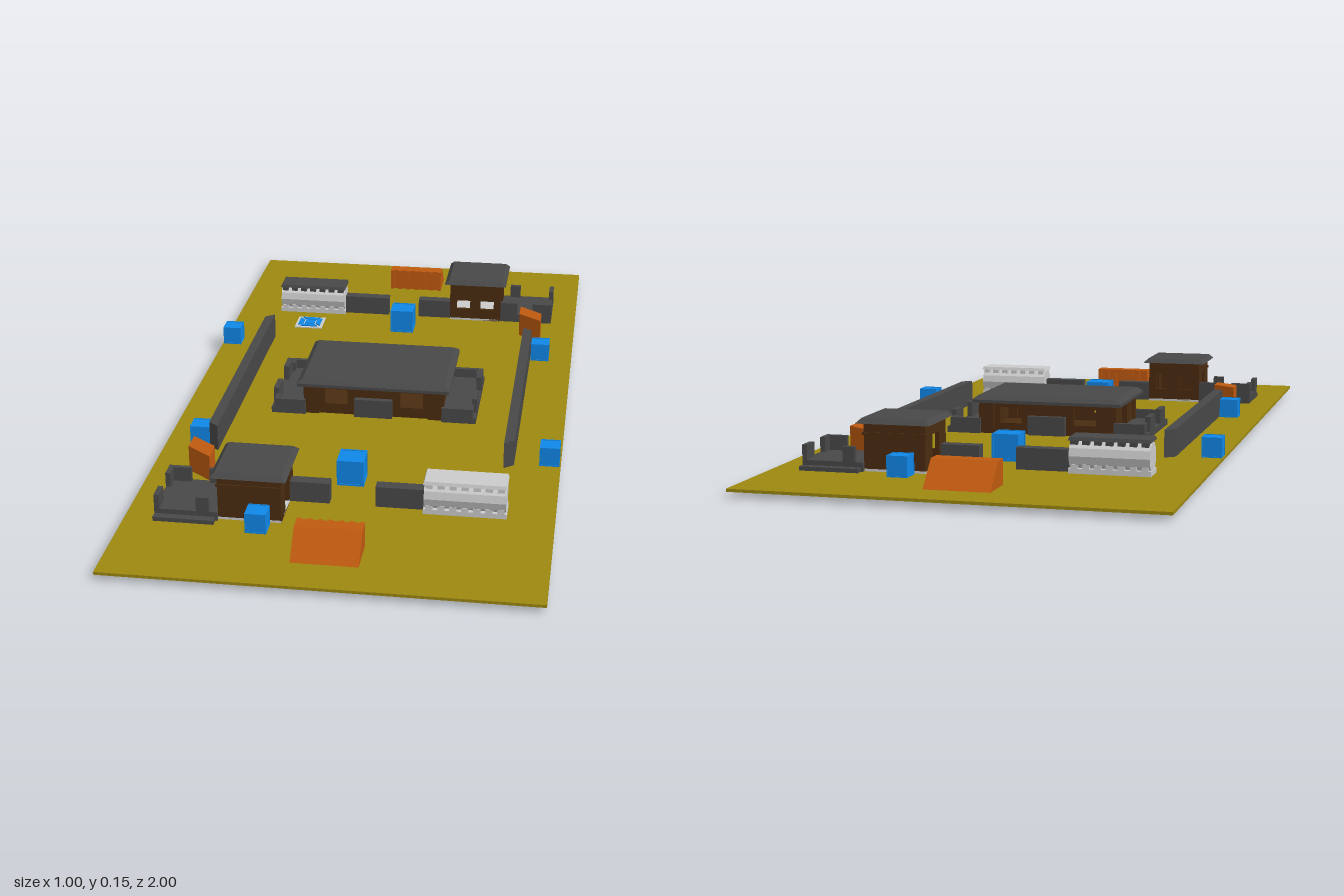
import * as THREE from 'three';

const material = (color) => new THREE.MeshStandardMaterial({ color, flatShading: true });
const M = {
  ground: material(0x9c8810), dark: material(0x484848), brown: material(0x4a2c10),
  orange: material(0xc05a10), blue: material(0x1088e8), silver: material(0xc4c4c8),
};
const G = 0.02; // ground level

function add(parent, name, geometry, mat) {
  const mesh = new THREE.Mesh(geometry, mat);
  mesh.name = name;
  parent.add(mesh);
  return mesh;
}

// Box given by its limits; the top can be drawn in by inset
function box(parent, name, mat, x0, x1, y0, y1, z0, z1, inset = 0) {
  const geometry = new THREE.BoxGeometry(x1 - x0, y1 - y0, z1 - z0);
  const p = geometry.attributes.position;
  for (let i = 0; i < p.count; i++) {
    if (p.getY(i) > 0) {
      p.setX(i, p.getX(i) - Math.sign(p.getX(i)) * inset);
      p.setZ(i, p.getZ(i) - Math.sign(p.getZ(i)) * inset);
    }
  }
  geometry.translate((x0 + x1) / 2, (y0 + y1) / 2, (z0 + z1) / 2);
  return add(parent, name, geometry, mat);
}

const polygon = (points) => new THREE.Shape(points.map(([x, y]) => new THREE.Vector2(x, y)));

// Upright prism over an outline of [x, z] points
function prism(parent, name, mat, points, y0, y1) {
  const geometry = new THREE.ExtrudeGeometry(polygon(points.map(([x, z]) => [x, -z])),
    { depth: y1 - y0, bevelEnabled: false });
  geometry.rotateX(-Math.PI / 2).translate(0, y0, 0);
  return add(parent, name, geometry, mat);
}

// Wall centred at x, z with rectangular openings [u0, u1, v0, v1]
function wall(parent, name, length, height, x, z, turn, openings = []) {
  const h = length / 2, t = 0.01;
  const shape = polygon([[-h, 0], [h, 0], [h, height], [-h, height]]);
  for (const [u0, u1, v0, v1] of openings) {
    shape.holes.push(polygon([[u0, v0], [u0, v1], [u1, v1], [u1, v0]]));
  }
  const geometry = new THREE.ExtrudeGeometry(shape, { depth: t, bevelEnabled: false });
  geometry.translate(0, 0, -t / 2);
  const mesh = add(parent, name, geometry, M.brown);
  mesh.position.set(x, G, z);
  mesh.rotation.y = turn ? Math.PI / 2 : 0;
}

// Cube with a raised frame on every edge
function crate(parent, x, z, s) {
  const g = new THREE.Group();
  g.name = 'crate';
  g.position.set(x, G + s / 2, z);
  const h = s / 2, e = s * 0.06;
  box(g, 'crateBody', M.blue, -h + e / 2, h - e / 2, -h, h - e / 2, -h + e / 2, h - e / 2);
  for (const a of [-h + e / 2, h - e / 2]) for (const b of [-h + e / 2, h - e / 2]) {
    const bar = (dx, dy, dz, px, py, pz) =>
      add(g, 'crateFrame', new THREE.BoxGeometry(dx, dy, dz).translate(px, py, pz), M.blue);
    bar(s, e, e, 0, a, b);
    bar(e, s, e, a, 0, b);
    bar(e, e, s, a, b, 0);
  }
  parent.add(g);
}

// Flat tile with a blue ring of wedges
function pad(parent, x, z) {
  const g = new THREE.Group();
  g.name = 'floorPad';
  g.position.set(x, 0, z);
  box(g, 'padTile', M.silver, -0.04, 0.04, G, 0.023, -0.04, 0.04);
  box(g, 'padCentre', M.blue, -0.014, 0.014, G, 0.026, -0.014, 0.014);
  for (let i = 0; i < 4; i++) {
    prism(g, 'padWedge', M.blue, [[-0.014, 0.018], [0.014, 0.018], [0.026, 0.032], [-0.026, 0.032]],
      G, 0.026).rotation.y = i * Math.PI / 2;
  }
  parent.add(g);
}

// Lying tank held between toothed top and bottom rails
function tank(parent, x0, x1, z, plate) {
  const geometry = new THREE.CylinderGeometry(0.037, 0.037, x1 - x0 - 0.004, 12);
  geometry.rotateZ(Math.PI / 2).translate((x0 + x1) / 2, 0.061, z);
  add(parent, 'tank', geometry, M.silver);
  box(parent, 'tankTopPlate', plate, x0, x1, 0.098, 0.106, z - 0.036, z + 0.036, 0.003);
  box(parent, 'tankBase', M.silver, x0, x1, G, 0.032, z - 0.033, z + 0.033);
  const n = 7, step = (x1 - x0) / n;
  for (let i = 0; i < n; i++) {
    const a = x0 + (i + 0.2) * step, b = a + step * 0.6;
    box(parent, 'tankTopTooth', plate, a, b, 0.088, 0.099, z - 0.034, z + 0.034);
    box(parent, 'tankBaseTooth', M.silver, a, b, 0.03, 0.042, z - 0.033, z + 0.033);
  }
}

// Half of the field; the other half is this turned about the centre
function half(front) {
  const g = new THREE.Group();
  g.name = front ? 'frontHalf' : 'backHalf';

  // Sloped end barrier with ribs on its inner face
  const ramp = new THREE.ExtrudeGeometry(
    polygon([[0.805, G], [0.9, G], [0.84, 0.08], [0.805, 0.08]]), { depth: 0.156, bevelEnabled: false });
  ramp.rotateY(-Math.PI / 2).translate(0.078, 0, 0);
  add(g, 'endBarrier', ramp, M.orange);
  for (let i = 0; i < 7; i++) {
    const x = -0.078 + i * 0.0243;
    box(g, 'barrierRib', M.orange, x, x + 0.01, G, 0.08, 0.8, 0.807);
  }

  // House
  box(g, 'houseFloor', M.silver, -0.28, -0.13, 0.01, 0.026, 0.575, 0.725);
  wall(g, 'houseOuterWall', 0.15, 0.117, -0.205, 0.72, false);
  wall(g, 'houseInnerWall', 0.15, 0.117, -0.205, 0.58, false,
    [[-0.055, -0.015, 0.035, 0.08], [0.015, 0.055, 0.035, 0.08]]);
  wall(g, 'houseSideWall', 0.14, 0.117, -0.135, 0.65, true, [[-0.025, 0.025, 0.006, 0.085]]);
  wall(g, 'houseAnnexWall', 0.14, 0.117, -0.275, 0.65, true, [[-0.025, 0.025, 0.022, 0.085]]);
  box(g, 'houseBand', M.brown, -0.283, -0.127, 0.106, 0.112, 0.72, 0.728);
  box(g, 'houseRoof', M.dark, -0.295, -0.115, 0.134, 0.146, 0.562, 0.742, 0.012);

  // Walled yard beside the house
  box(g, 'yardUnderside', M.silver, -0.425, -0.28, 0.01, G, 0.59, 0.735);
  box(g, 'yardFloor', M.dark, -0.43, -0.28, G, 0.042, 0.58, 0.735);
  prism(g, 'yardStep', M.dark, [[-0.43, 0.735], [-0.285, 0.735], [-0.285, 0.755], [-0.43, 0.755]], G, 0.03);
  for (const [z0, z1] of [[0.58, 0.625], [0.69, 0.735]]) {
    box(g, 'yardSideWall', M.dark, -0.43, -0.418, 0.04, 0.078, z0, z1);
  }
  box(g, 'yardBackWall', M.dark, -0.43, -0.375, 0.04, 0.078, 0.58, 0.592);
  box(g, 'yardBackWall', M.dark, -0.33, -0.28, 0.04, 0.078, 0.58, 0.592);
  box(g, 'yardFrontWall', M.dark, -0.33, -0.3, 0.04, 0.078, 0.723, 0.735);

  // Low barriers sunk through the ground, and the tank
  box(g, 'houseBarrier', M.dark, -0.13, -0.035, 0, 0.072, 0.585, 0.615);
  const [b0, b1] = front ? [0.075, 0.19] : [0.055, 0.185];
  box(g, 'tankBarrier', M.dark, b0, b1, 0, 0.072, 0.585, 0.615);
  tank(g, front ? 0.19 : 0.185, front ? 0.387 : 0.38, 0.602, front ? M.silver : M.dark);

  // Slanted block
  prism(g, 'slantedBlock', M.orange, [[-0.405, 0.435], [-0.342, 0.482], [-0.342, 0.54], [-0.405, 0.492]], G, 0.086);

  // Long side wall
  prism(g, 'longWall', M.dark, [[-0.36, -0.375], [-0.385, -0.355], [-0.385, 0.355], [-0.36, 0.375]], G, 0.088);

  // Crates and pad
  crate(g, 0, 0.487, 0.066);
  crate(g, -0.412, 0.325, 0.05);
  crate(g, 0.472, 0.325, 0.05);
  crate(g, -0.18, 0.757, 0.05);
  pad(g, 0.277, 0.487);

  // Half of the central building
  const doors = [-0.1, 0.1].map((u) => [u - 0.03, u + 0.03, 0.028, 0.07]);
  wall(g, 'hallLongWall', 0.36, 0.084, 0, 0.115, false, doors);
  wall(g, 'hallEndWall', 0.23, 0.084, -0.175, 0, true, [[-0.03, 0.03, 0.014, 0.07]]);
  box(g, 'hallPorch', M.dark, -0.05, 0.05, G, 0.07, 0.115, 0.135);
  for (const x of [-0.165, 0.165]) {
    box(g, 'hallCornerPier', M.brown, x - 0.02, x + 0.02, G, 0.1, 0.1, 0.126);
  }
  box(g, 'terraceFloor', M.dark, -0.27, -0.18, G, 0.036, -0.135, 0.135);
  for (const s of [-1, 1]) {
    const span = (a, b) => (s > 0 ? [a, b] : [-b, -a]);
    box(g, 'terraceEndWall', M.dark, -0.27, -0.256, G, 0.075, ...span(0.04, 0.1));
    box(g, 'terraceCornerWall', M.dark, -0.262, -0.25, G, 0.06, ...span(0.1, 0.135));
    box(g, 'terraceSideWall', M.dark, -0.262, -0.18, G, 0.06, ...span(0.123, 0.135));
    box(g, 'terraceUnderside', M.brown, -0.265, -0.18, 0.008, G, ...span(0.035, 0.13));
  }

  if (!front) g.rotation.y = Math.PI;
  return g;
}

export function createModel() {
  const model = new THREE.Group();
  model.name = 'playingField';
  box(model, 'ground', M.ground, -0.5, 0.5, 0.013, G, -1, 1);
  box(model, 'hallFloor', M.brown, -0.18, 0.18, 0.008, 0.026, -0.115, 0.115);
  box(model, 'hallEaves', M.dark, -0.2, 0.2, 0.102, 0.11, -0.142, 0.142);
  box(model, 'hallRoof', M.dark, -0.2, 0.2, 0.11, 0.121, -0.142, 0.142, 0.014);
  model.add(half(true), half(false));
  return model;
}
